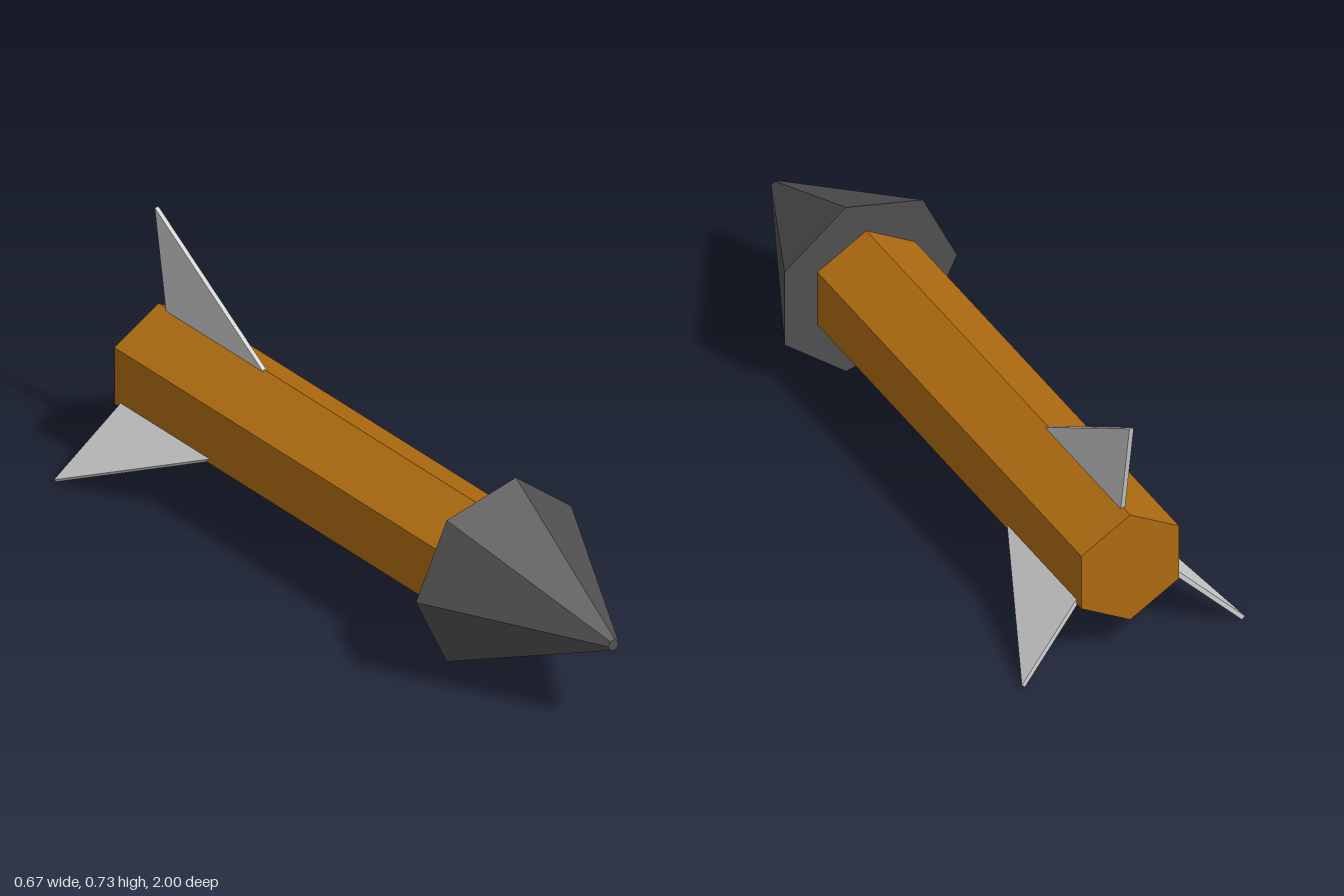
import * as THREE from 'three';

const AXIS_Y = 0.27;

const paint = (color) => new THREE.MeshStandardMaterial({ color, flatShading: true });

// Faceted solid of revolution lying along z, from zBack to zFront
function prism(name, rFront, rBack, zFront, zBack, sides, start, material) {
  const geometry = new THREE.CylinderGeometry(rFront, rBack, zFront - zBack, sides, 1, false, start);
  geometry.rotateX(Math.PI / 2);
  const mesh = new THREE.Mesh(geometry, material);
  mesh.name = name;
  mesh.position.set(0, AXIS_Y, (zFront + zBack) / 2);
  return mesh;
}

// Swept triangular fin: x of the shape runs along z, y points outward
function finGeometry(thickness) {
  const shape = new THREE.Shape([
    new THREE.Vector2(-0.51, -0.005),
    new THREE.Vector2(-0.99, 0.29),
    new THREE.Vector2(-0.94, -0.005),
  ]);
  const geometry = new THREE.ExtrudeGeometry(shape, { depth: thickness, bevelEnabled: false });
  geometry.translate(0, 0, -thickness / 2);
  geometry.rotateY(-Math.PI / 2);
  return geometry;
}

export function createModel() {
  const model = new THREE.Group();
  model.name = 'rocket';

  // Seven-sided nose with a tiny blunt tip, six-sided body
  model.add(prism('noseCone', 0.017, 0.273, 1, 0.495, 7, -Math.PI / 2, paint(0x505050)));
  model.add(prism('body', 0.17, 0.17, 0.5, -0.982, 6, 0, paint(0xae6b10)));

  // One upright fin and a mirrored pair splayed down at 45 degrees
  const geometry = finGeometry(0.013);
  const material = paint(0xcccccc);
  const fins = [
    ['topFin', 0, 0.437, 0, 0],
    ['leftFin', 0.126, 0.211, -0.01, -Math.PI * 0.75],
    ['rightFin', -0.126, 0.211, -0.01, Math.PI * 0.75],
  ];
  for (const [name, x, y, z, angle] of fins) {
    const fin = new THREE.Mesh(geometry, material);
    fin.name = name;
    fin.position.set(x, y, z);
    fin.rotation.z = angle;
    model.add(fin);
  }
  return model;
}
